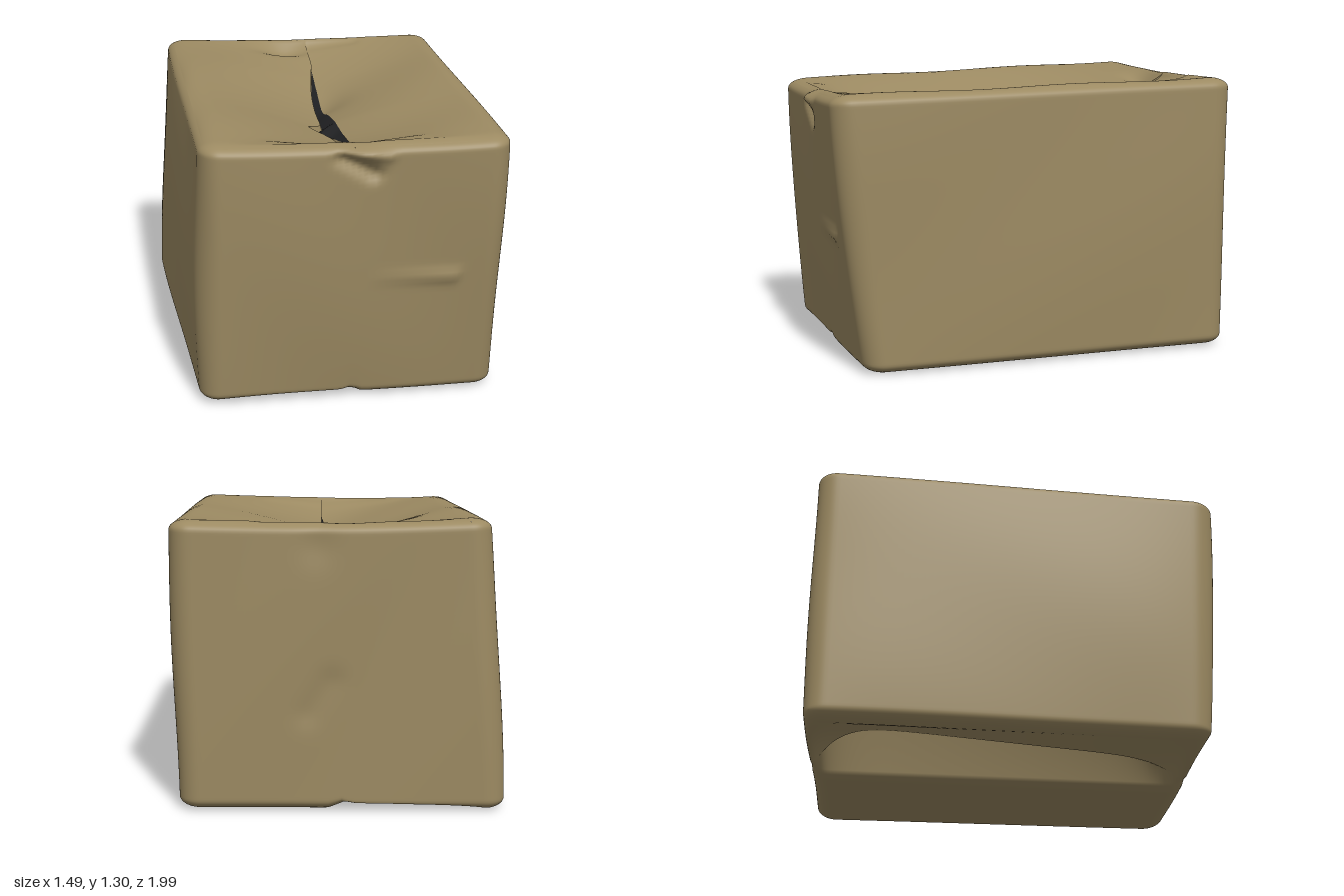
import * as THREE from 'three';
import { mergeVertices } from 'three/addons/utils/BufferGeometryUtils.js';

const HALF = [0.7, 0.64, 0.95];
const RADIUS = [0.095, 0.05, 0.1];
const SEG = 76;

// leaning corners of the carton: [bottom, top] x [back, front] x [right, left]
const CORNERS = [
  [[[-0.735, 0.012, -1.0], [0.725, 0.015, -0.925]], [[-0.69, 0.022, 0.83], [0.672, 0.012, 0.855]]],
  [[[-0.65, 1.325, -1.0], [0.757, 1.315, -0.925]], [[-0.68, 1.268, 0.895], [0.685, 1.275, 1.0]]],
];

const clamp = THREE.MathUtils.clamp;
const lerp = THREE.MathUtils.lerp;
const bell = (d, width) => Math.exp(-((d / width) ** 2));
const ease = (t) => Math.sin((t * Math.PI) / 2);

// distance-based fold along a line from a to b
function fold(x, y, a, b, width) {
  const dx = b[0] - a[0], dy = b[1] - a[1];
  const t = clamp(((x - a[0]) * dx + (y - a[1]) * dy) / (dx * dx + dy * dy), 0, 1);
  return bell(Math.hypot(x - a[0] - t * dx, y - a[1] - t * dy), width);
}

// cube position (-1..1) to a rounded, leaning and dented carton position
function carton(u, v, w) {
  const p = [u, v, w].map((t, i) => t * HALF[i]);
  const core = p.map((t, i) => clamp(t, RADIUS[i] - HALF[i], HALF[i] - RADIUS[i]));
  const dir = p.map((t, i) => (t - core[i]) / RADIUS[i]);
  const len = Math.hypot(...dir) || 1;
  const n = core.map((t, i) => (t + (dir[i] / len) * RADIUS[i]) / HALF[i]);
  const [a, b, c] = n.map((t) => (t + 1) / 2);
  const mix = (i) => {
    const row = (j, k) => lerp(CORNERS[j][k][0][i], CORNERS[j][k][1][i], a);
    return lerp(lerp(row(0, 0), row(0, 1), c), lerp(row(1, 0), row(1, 1), c), b);
  };
  let x = mix(0), y = mix(1), z = mix(2);
  const side = (t) => Math.max(0, t) ** 8;
  const front = side(n[2]), back = side(-n[2]), bottom = side(-n[1]);

  // slack walls
  const belly = (1 - n[1] ** 2) * (1 - n[2] ** 4);
  x += -0.035 * side(-n[0]) * belly + 0.01 * side(n[0]) * belly;
  x += 0.004 * Math.sin(5 * y + 3 * z) * (side(n[0]) + side(-n[0]));
  z += 0.004 * Math.sin(6 * x + 4 * y) * (front + back);
  z += front * 0.018 * (1 - n[1] ** 2);
  y -= 0.015 * b * (1 - n[0] ** 2);

  // front: punched tear, raised horizontal crease, bulge under the seam
  z -= front * 0.035 * fold(x, y, [-0.06, 1.2], [0.08, 1.12], 0.03);
  z += front * 0.015 * fold(x, y, [-0.05, 1.22], [0.14, 1.2], 0.025);
  z += front * 0.018 * clamp((x - 0.05) / 0.35, 0, 1) * fold(x, y, [0.1, 0.63], [0.45, 0.62], 0.028);
  z += front * 0.025 * bell(x - 0.05, 0.06) * bell(y - 1.25, 0.05);

  // back: shallow knocks
  z += back * 0.01 * fold(x, y, [0.05, 0.6], [0.14, 0.46], 0.06);
  z += back * 0.01 * bell(x - 0.1, 0.08) * bell(y - 1.2, 0.09);

  // bottom: one flap pushed in along the seam, notch at both ends
  const pushed = (1 - n[2] ** 8) * (1 - 0.35 * n[2]);
  if (n[0] < 0) y += bottom * 0.2 * clamp(1 + n[0] / 0.9, 0, 1) * pushed;
  y += bottom * 0.028 * bell(x, 0.03);
  return [x, y, z];
}

// smooth geometry after moving every vertex by a rule
function shape(geometry, rule) {
  geometry.deleteAttribute('normal');
  geometry.deleteAttribute('uv');
  const pos = geometry.attributes.position;
  for (let i = 0; i < pos.count; i++) {
    pos.setXYZ(i, ...rule(pos.getX(i), pos.getY(i), pos.getZ(i)));
  }
  const merged = mergeVertices(geometry, 1e-5);
  merged.clearGroups();
  merged.computeVertexNormals();
  return merged;
}

// four walls and bottom, without the top face
function wallsGeometry() {
  const box = new THREE.BoxGeometry(2, 2, 2, SEG, SEG, SEG);
  const top = box.groups[2];
  const index = Array.from(box.index.array);
  index.splice(top.start, top.count);
  box.setIndex(index);
  return shape(box, (x, y, z) => carton(ease(x), ease(y), ease(z)));
}

// slit between the two top flaps, in cube units, with a torn notch on one side
function slit(w, sign) {
  const seam = 0.038 - 0.014 * w;
  if (sign > 0) return seam;
  const open = Math.max(0, 1 - (w / 0.66) ** 2);
  return seam - 0.085 * open - 0.12 * bell(w - 0.25, 0.075);
}

// how far a flap sags; the two edges twist past each other along the slit
function sag(u, w, sign) {
  const along = Math.max(0, Math.cos((clamp(w / 0.93, -1, 1) * Math.PI) / 2)) ** 0.65;
  const across = clamp(1 - Math.abs(u - 0.03) / 0.87, 0, 1) ** 1.2;
  const twist = clamp((w + 0.15) / 0.35, -1, 1);
  return (0.175 - sign * 0.03 * twist) * along * across;
}

function flapPoint(u, w, sign) {
  const [x, y, z] = carton(u, 1, w);
  const inside = (1 - w ** 8) * (1 - u ** 8);
  let lift = 0.006 * Math.sin(7 * z + 4 * x) * inside;
  if (sign < 0) {
    lift -= 0.045 * bell(x + 0.04, 0.12) * bell(z + 0.82, 0.06);
  } else {
    lift -= 0.01 * fold(x, z, [0.08, -0.85], [0.34, -0.85], 0.03);
    lift -= 0.04 * bell(x - 0.05, 0.12) * bell(z + 0.25, 0.15);
  }
  lift += 0.01 * fold(x, z, [-0.35, 0.8], [0.3, 0.84], 0.04) * inside;
  return [x, y - sag(u, w, sign) + lift, z];
}

function flapGeometry(sign) {
  const plane = new THREE.PlaneGeometry(2, 2, 44, SEG).rotateX(-Math.PI / 2);
  return shape(plane, (x, _, z) => {
    const w = ease(z);
    const t = 1 - Math.cos(((1 - sign * x) * Math.PI) / 4);
    return flapPoint(lerp(sign, slit(w, sign), t), w, sign);
  });
}

// groove along the slit: a lip under the right-hand flap, then a floor up to the left-hand one
function grooveGeometry(isFloor) {
  const strip = new THREE.PlaneGeometry(2, 1, SEG, 2).rotateY(Math.PI / 2);
  return shape(strip, (_, y, z) => {
    const w = ease(z);
    const edge = flapPoint(slit(w, -1), w, -1);
    const end = flapPoint(slit(w, 1), w, 1);
    const gap = end[0] - edge[0];
    const low = [end[0] - gap * 0.85, end[1] - Math.min(gap, 0.06) * 0.9, end[2]];
    const [from, to] = isFloor ? [low, end] : [edge, low];
    return from.map((t, i) => lerp(t, to[i], 0.5 - y));
  });
}

export function createModel() {
  const cardboard = new THREE.MeshStandardMaterial({ color: 0x9c8a62 });
  cardboard.name = 'cardboard';
  const darkInside = new THREE.MeshStandardMaterial({ color: 0x242527 });
  darkInside.name = 'dark inside';

  const model = new THREE.Group();
  model.name = 'crumpledBox';
  const add = (name, geometry, material) => {
    const mesh = new THREE.Mesh(geometry, material);
    mesh.name = name;
    model.add(mesh);
  };
  add('walls', wallsGeometry(), cardboard);
  add('rightTopFlap', flapGeometry(-1), cardboard);
  add('leftTopFlap', flapGeometry(1), cardboard);
  add('tornLip', grooveGeometry(false), cardboard);
  add('slitFloor', grooveGeometry(true), darkInside);
  return model;
}
